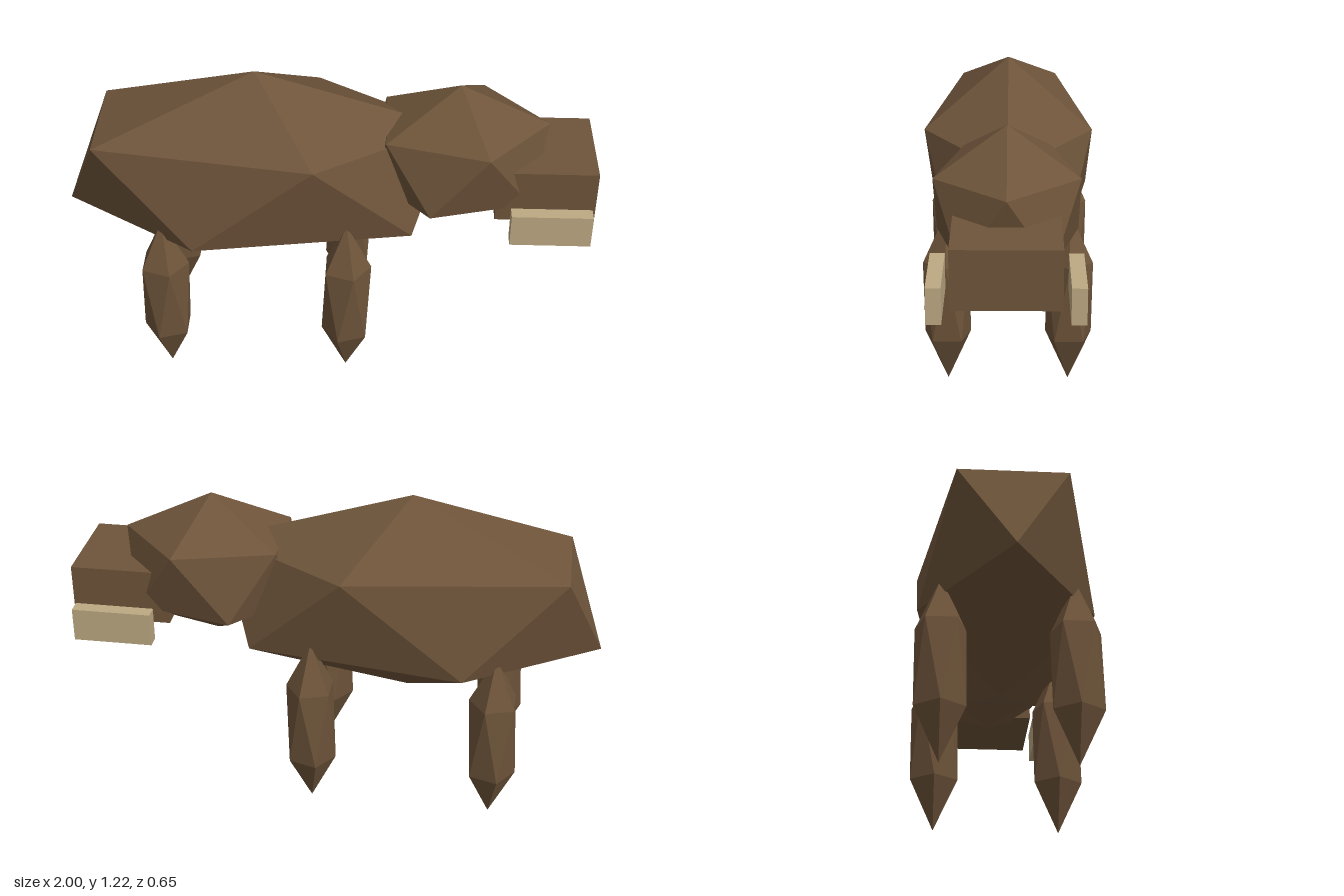
import * as THREE from 'three';

const hide = new THREE.MeshStandardMaterial({ color: 0x6e543a });
hide.name = 'brownHide';
hide.flatShading = true;
const ivory = new THREE.MeshStandardMaterial({ color: 0xbda882 });
ivory.name = 'ivory';

// Icosahedron standing on a point: top, two staggered rings of five, bottom
function uprightIcosahedron(rx, ry, rz) {
  const ring = 2 / Math.sqrt(5), h = 1 / Math.sqrt(5);
  const points = [0, 1, 0], faces = [];
  for (let k = 0; k < 2; k++) {
    for (let i = 0; i < 5; i++) {
      const a = (i + k / 2) * Math.PI * 2 / 5;
      points.push(ring * Math.cos(a), k ? -h : h, ring * Math.sin(a));
    }
  }
  points.push(0, -1, 0);
  for (let i = 0; i < 5; i++) {
    const j = (i + 1) % 5;
    const u = 1 + i, un = 1 + j, l = 6 + i, ln = 6 + j;
    faces.push(0, un, u, u, un, l, l, un, ln, 11, l, ln);
  }
  const geometry = new THREE.PolyhedronGeometry(points, faces, 1, 0);
  geometry.scale(rx, ry, rz);
  geometry.computeVertexNormals();
  return geometry;
}

export function createModel() {
  const model = new THREE.Group();
  model.name = 'tuskedAnimal';

  const add = (name, geometry, material, x, y, z) => {
    const mesh = new THREE.Mesh(geometry, material);
    mesh.name = name;
    mesh.position.set(x, y, z);
    model.add(mesh);
  };

  // Body, head and snout, facing +x
  add('body', uprightIcosahedron(0.817, 0.409, 0.376), hide, -0.268, 0.813, 0);
  add('head', uprightIcosahedron(0.375, 0.29, 0.3), hide, 0.49, 0.889, 0);
  add('snout', new THREE.BoxGeometry(0.37, 0.212, 0.37), hide, 0.815, 0.814, 0);

  // Legs and tusks, mirrored across the body
  const leg = uprightIcosahedron(0.106, 0.35, 0.106);
  const tusk = new THREE.BoxGeometry(0.3, 0.13, 0.052);
  for (const side of [1, -1]) {
    const label = side > 0 ? 'Near' : 'Far';
    add('foreLeg' + label, leg, hide, 0.08, 0.35, side * 0.237);
    add('hindLeg' + label, leg, hide, -0.615, 0.35, side * 0.237);
    add('tusk' + label, tusk, ivory, 0.835, 0.716, side * 0.238);
  }

  return model;
}
